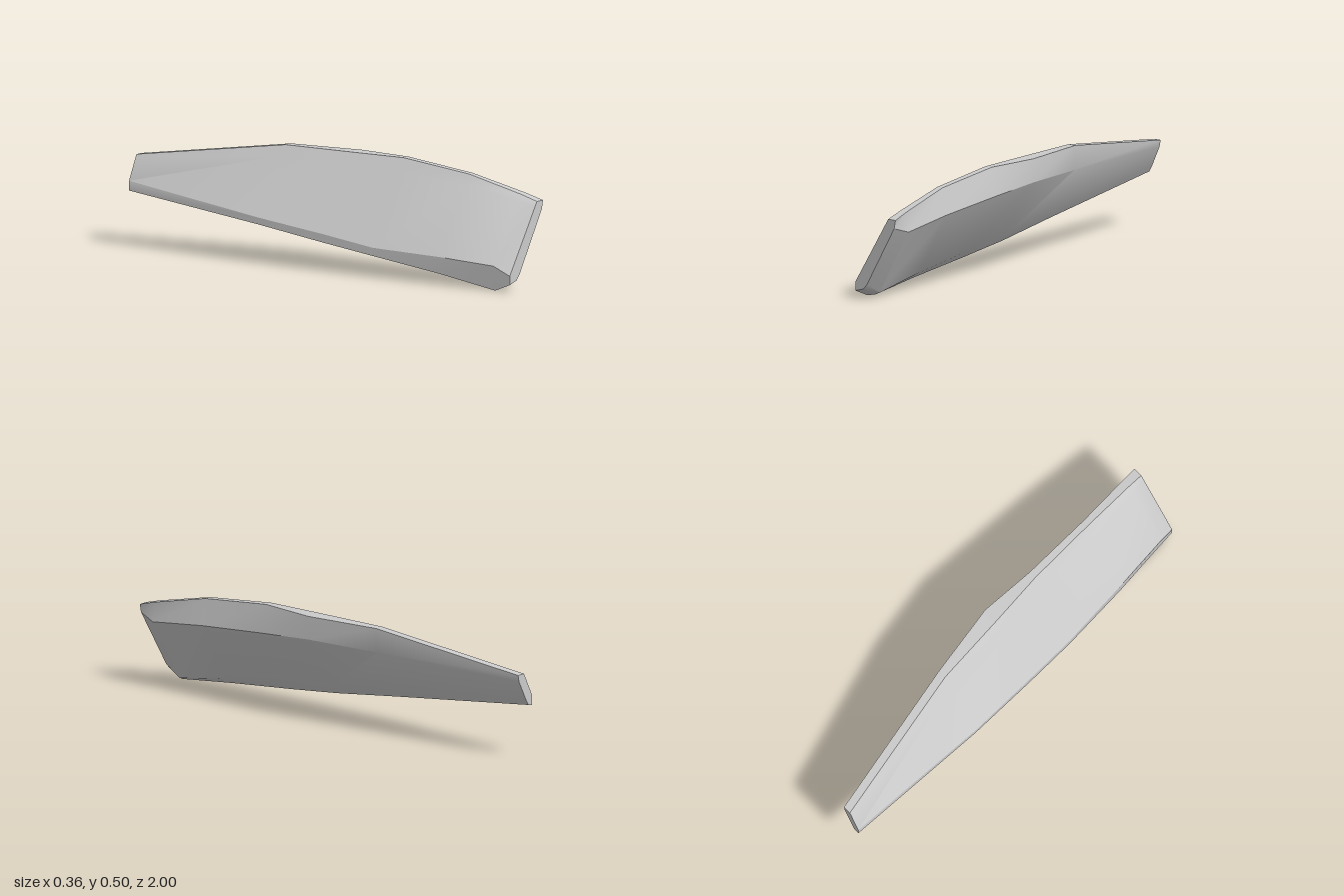
import * as THREE from 'three';
import { toCreasedNormals } from 'three/addons/utils/BufferGeometryUtils.js';

// Cross-sections from back to front. Each runs clockwise seen from the front:
// top edge (inner, outer), outer face (top, bottom), keel, lower rim, upper rim, inner face near top
const sections = [
  { z: -1, p: [[-.127, .4], [-.09, .4], [-.096, .37], [-.142, .275], [-.156, .252], [-.18, .247], [-.18, .29], [-.135, .384]] },
  { z: -.29, p: [[.014, .5], [.053, .5], [.048, .39], [-.067, .195], [-.098, .158], [-.178, .175], [-.178, .205], [-.015, .456]] },
  { z: .05, p: [[.047, .5], [.118, .5], [.118, .395], [-.03, .15], [-.066, .112], [-.16, .13], [-.16, .167], [.016, .45]] },
  { z: .31, p: [[.075, .5], [.11, .5], [.135, .375], [-.02, .115], [-.055, .08], [-.143, .097], [-.143, .133], [.042, .445]] },
  { z: .65, p: [[.1, .462], [.13, .462], [.156, .345], [-.008, .067], [-.04, .042], [-.105, .05], [-.11, .125], [.07, .415]] },
  { z: .92, p: [[.124, .398], [.163, .398], [.177, .312], [.007, .021], [-.015, .011], [-.063, 0], [-.077, .11], [.095, .378]] },
  { z: 1, p: [[.13, .375], [.173, .375], [.165, .337], [.005, .068], [-.015, .046], [-.063, .033], [-.063, .072], [.116, .353]] },
];

// Skin consecutive sections and close both ends
function loft(rings) {
  const n = rings[0].p.length;
  const pos = [];
  const index = [];
  rings.forEach(({ z, p }) => p.forEach(([x, y]) => pos.push(x, y, z)));
  const last = (rings.length - 1) * n;
  for (let i = 0; i < last; i += n) {
    for (let j = 0; j < n; j++) {
      const k = (j + 1) % n;
      index.push(i + j, i + n + j, i + n + k, i + j, i + n + k, i + k);
    }
  }
  for (let j = 1; j < n - 1; j++) {
    index.push(0, j, j + 1);
    index.push(last, last + j + 1, last + j);
  }
  const geometry = new THREE.BufferGeometry();
  geometry.setAttribute('position', new THREE.Float32BufferAttribute(pos, 3));
  geometry.setIndex(index);
  return toCreasedNormals(geometry, THREE.MathUtils.degToRad(28));
}

export function createModel() {
  const group = new THREE.Group();
  group.name = 'taperedPanel';
  // Tilted tapering plate with chamfered rim
  const panel = new THREE.Mesh(loft(sections), new THREE.MeshStandardMaterial({ color: 0xcccccc }));
  panel.name = 'panelShell';
  group.add(panel);
  return group;
}
